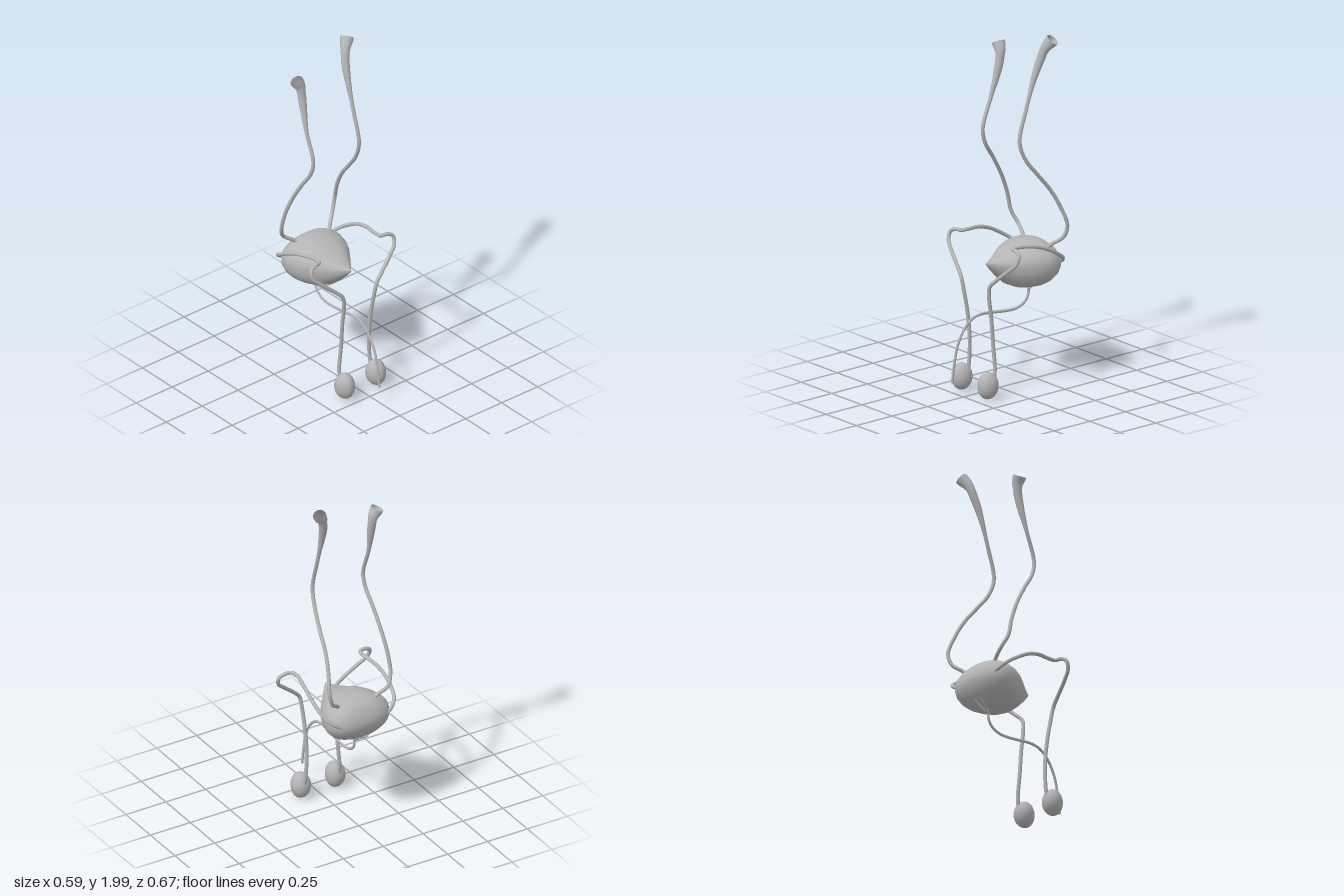
import * as THREE from 'three';

const gray = new THREE.MeshStandardMaterial({ color: 0xb4b4b4, side: THREE.DoubleSide });
gray.name = 'gray';

function add(group, name, geometry) {
  const mesh = new THREE.Mesh(geometry, gray);
  mesh.name = name;
  group.add(mesh);
  return mesh;
}

// Tube along a smooth path; radiusAt(t) gives the radius from start to end
function tube(points, radiusAt, segments = 120, sides = 14) {
  const curve = new THREE.CatmullRomCurve3(points.map(p => new THREE.Vector3(...p)), false, 'centripetal');
  const geo = new THREE.TubeGeometry(curve, segments, 1, sides, false);
  const pos = geo.attributes.position;
  const v = new THREE.Vector3();
  for (let i = 0; i <= segments; i++) {
    const c = curve.getPointAt(i / segments);
    const r = radiusAt(i / segments);
    for (let j = 0; j <= sides; j++) {
      const k = i * (sides + 1) + j;
      v.fromBufferAttribute(pos, k).sub(c).multiplyScalar(r).add(c);
      pos.setXYZ(k, v.x, v.y, v.z);
    }
  }
  return geo;
}

// Bladder lofted from the front tip to the blunt back: [z, half width, top y, bottom y, y of widest point]
function bladderGeometry() {
  const rows = [
    [0.095, 0.001, 0.724, 0.720, 0.722], [0.085, 0.008, 0.727, 0.706, 0.718],
    [0.05, 0.036, 0.731, 0.668, 0.710], [0.0, 0.075, 0.744, 0.618, 0.697],
    [-0.05, 0.114, 0.766, 0.577, 0.69], [-0.1, 0.150, 0.786, 0.554, 0.688],
    [-0.15, 0.175, 0.798, 0.545, 0.687], [-0.2, 0.188, 0.804, 0.543, 0.686],
    [-0.24, 0.190, 0.803, 0.551, 0.685], [-0.275, 0.178, 0.792, 0.570, 0.684],
    [-0.30, 0.158, 0.772, 0.594, 0.683], [-0.32, 0.125, 0.742, 0.624, 0.682],
    [-0.332, 0.075, 0.713, 0.652, 0.681], [-0.336, 0.001, 0.682, 0.680, 0.681],
  ];
  const n = 48, pos = [], index = [];
  const power = x => Math.sign(x) * Math.abs(x) ** 0.93;
  rows.forEach(([z, w, top, bottom, mid], i) => {
    for (let j = 0; j < n; j++) {
      const a = j / n * Math.PI * 2, s = power(Math.sin(a));
      pos.push(w * power(Math.cos(a)), mid + s * (s > 0 ? top - mid : mid - bottom), z);
      if (i === 0) continue;
      const k = (j + 1) % n, p = (i - 1) * n, q = i * n;
      index.push(p + j, q + j, p + k, p + k, q + j, q + k);
    }
  });
  const geo = new THREE.BufferGeometry();
  geo.setAttribute('position', new THREE.Float32BufferAttribute(pos, 3));
  geo.setIndex(index);
  geo.computeVertexNormals();
  return geo;
}

export function createModel() {
  const model = new THREE.Group();
  model.name = 'urinaryTract';
  add(model, 'bladder', bladderGeometry());

  // Long upper ducts, flaring into open bells at the top
  const flare = t => 0.0105 + 0.013 * THREE.MathUtils.smoothstep(t, 0.72, 0.93)
    + 0.013 * THREE.MathUtils.smoothstep(t, 0.93, 1);
  add(model, 'leftUreter', tube([
    [0.12, 0.775, -0.235], [0.145, 0.80, -0.255], [0.19, 0.84, -0.29], [0.212, 0.91, -0.298],
    [0.197, 1.02, -0.26], [0.182, 1.12, -0.205], [0.17, 1.22, -0.125], [0.155, 1.32, -0.05],
    [0.148, 1.42, -0.018], [0.148, 1.6, -0.065], [0.152, 1.76, -0.115], [0.163, 1.86, -0.15],
    [0.182, 1.93, -0.172], [0.213, 1.976, -0.195]], flare));
  add(model, 'rightUreter', tube([
    [-0.09, 0.775, -0.25], [-0.12, 0.80, -0.26], [-0.168, 0.835, -0.272], [-0.198, 0.90, -0.25],
    [-0.197, 1.0, -0.225], [-0.188, 1.12, -0.175], [-0.178, 1.24, -0.105], [-0.168, 1.34, -0.04],
    [-0.165, 1.42, -0.025], [-0.165, 1.58, -0.08], [-0.157, 1.7, -0.115], [-0.154, 1.79, -0.135],
    [-0.16, 1.84, -0.142], [-0.18, 1.877, -0.146]], flare));

  // Paired lower organs, mirrored across x
  for (const [side, s] of [['left', 1], ['right', -1]]) {
    const egg = new THREE.SphereGeometry(1, 32, 24);
    const p = egg.attributes.position;
    for (let i = 0; i < p.count; i++) {
      const x = p.getX(i), y = p.getY(i), z = p.getZ(i);
      p.setXYZ(i, x * 0.054 * (1 - 0.12 * z), y * 0.075, z * 0.059);
    }
    egg.computeVertexNormals();
    add(model, side + 'Testis', egg).position.set(s * 0.108, 0.08, 0.172);

    // Duct climbing from the testis, looping outward and back to the bladder
    add(model, side + 'SpermDuct', tube([
      [0.108, 0.10, 0.128], [0.106, 0.16, 0.12], [0.097, 0.3, 0.125], [0.1, 0.45, 0.14],
      [0.106, 0.57, 0.16], [0.118, 0.635, 0.166], [0.165, 0.685, 0.155], [0.235, 0.745, 0.135],
      [0.28, 0.79, 0.117], [0.284, 0.835, 0.102], [0.25, 0.855, 0.094], [0.214, 0.855, 0.085],
      [0.207, 0.855, 0.04], [0.222, 0.845, -0.045], [0.232, 0.818, -0.13], [0.23, 0.78, -0.2],
      [0.215, 0.74, -0.26], [0.18, 0.708, -0.29], [0.13, 0.68, -0.3]
    ].map(([x, y, z]) => [s * x, y, z]), () => 0.0105));

    // Short duct below the back of the bladder
    add(model, side + 'EjaculatoryDuct', tube([
      [s * 0.025, 0.585, -0.3], [s * 0.014, 0.55, -0.25], [0, 0.515, -0.202]], () => 0.007, 16, 10));
  }

  // Thin outlet tube on the centre line
  const urethra = add(model, 'urethra', tube([
    [0, 0.57, -0.21], [0, 0.53, -0.207], [0, 0.48, -0.2], [0, 0.445, -0.17], [0, 0.427, -0.12],
    [0, 0.427, -0.05], [0, 0.438, 0.04], [0, 0.446, 0.12], [0, 0.433, 0.185], [0, 0.39, 0.24],
    [0, 0.31, 0.288], [0, 0.2, 0.315], [0, 0.1, 0.329]], () => 0.008));
  urethra.scale.x = 0.75;
  return model;
}
